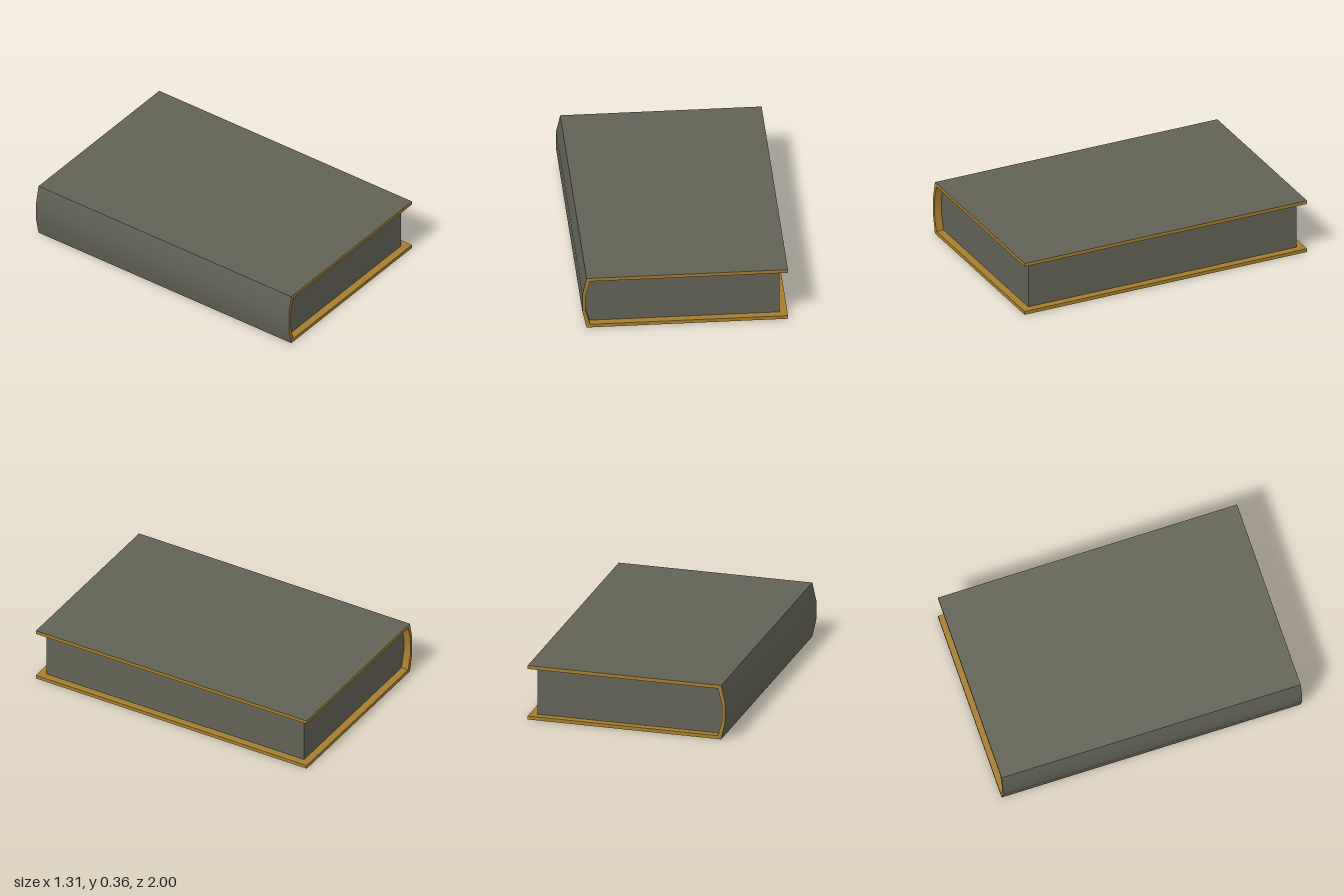
import * as THREE from 'three';
import { toCreasedNormals } from 'three/addons/utils/BufferGeometryUtils.js';

// Sweep a profile along z; faces point to the left of the direction of travel
function ribbon(profile, halfDepth) {
  const pos = [];
  for (let i = 0; i < profile.length - 1; i++) {
    const [x0, y0] = profile[i], [x1, y1] = profile[i + 1], h = halfDepth;
    pos.push(x0, y0, h, x1, y1, h, x1, y1, -h);
    pos.push(x0, y0, h, x1, y1, -h, x0, y0, -h);
  }
  const geo = new THREE.BufferGeometry();
  geo.setAttribute('position', new THREE.Float32BufferAttribute(pos, 3));
  return toCreasedNormals(geo, 0.6);
}

const toShape = (pts) => new THREE.Shape(pts.map(([x, y]) => new THREE.Vector2(x, y)));

export function createModel() {
  const cloth = new THREE.MeshStandardMaterial({ color: 0x636256 });
  cloth.name = 'greyCloth';
  const board = new THREE.MeshStandardMaterial({ color: 0xa67d2e });
  board.name = 'goldenBoard';

  const halfDepth = 1, pageHalfDepth = 0.95;
  const H = 0.364, T = 0.023, R = 0.655;

  // Cover outline, bottom fore edge round the spine to the top fore edge
  const outer = [[R, 0], [-0.628, 0], [-0.655, 0.12], [-0.655, H - 0.12], [-0.628, H], [R, H]];
  // Inside of the cover, top to bottom
  const spineInside = [[-0.606, H - T], [-0.635, H - 0.13], [-0.635, 0.13], [-0.606, T]];
  const inner = [[R, H - T], ...spineInside, [R, T]];

  const book = new THREE.Group();
  book.name = 'book';
  const add = (parent, name, geo, mat) => {
    const mesh = new THREE.Mesh(geo, mat);
    mesh.name = name;
    parent.add(mesh);
    return mesh;
  };

  const cover = new THREE.Group();
  cover.name = 'cover';
  book.add(cover);
  add(cover, 'coverOutside', ribbon(outer, halfDepth), cloth);
  add(cover, 'coverInside', ribbon([outer[5], ...inner, outer[0]], halfDepth), board);

  // Board edges at head and tail
  const edge = new THREE.ShapeGeometry(toShape([...outer, ...inner]));
  add(cover, 'frontCoverEdge', edge, board).position.z = halfDepth;
  const back = add(cover, 'backCoverEdge', edge.clone().scale(-1, 1, 1).rotateY(Math.PI), board);
  back.position.z = -halfDepth;
  // Mirroring flips the winding, so restore it and point the normals backwards
  const index = back.geometry.index;
  for (let i = 0; i < index.count; i += 3) {
    const a = index.getX(i);
    index.setX(i, index.getX(i + 2));
    index.setX(i + 2, a);
  }
  back.geometry.computeVertexNormals();

  // Page block, rounded into the spine
  const pages = new THREE.ExtrudeGeometry(
    toShape([[0.606, H - T], ...spineInside, [0.606, T]]),
    { depth: pageHalfDepth * 2, bevelEnabled: false });
  pages.translate(0, 0, -pageHalfDepth);
  add(book, 'pages', pages, cloth);

  return book;
}
